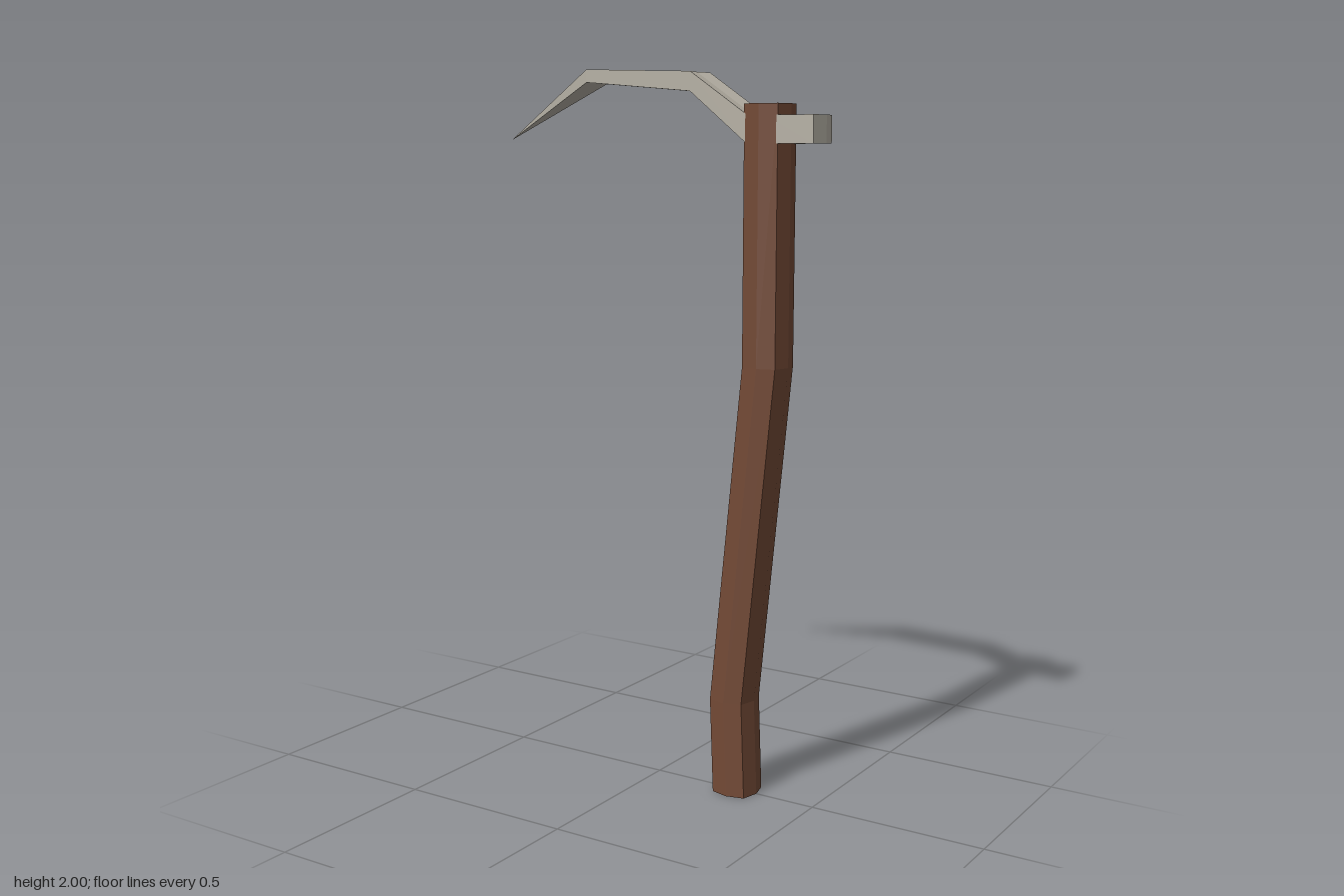
import * as THREE from 'three';

// Skin a list of equal-length rings (counter-clockwise seen from the far end) and cap both ends.
function loft(rings) {
  const n = rings[0].length;
  const index = [];
  for (let i = 0; i < rings.length - 1; i++) {
    for (let k = 0; k < n; k++) {
      const a = i * n + k, b = i * n + (k + 1) % n;
      index.push(a, b, b + n, a, b + n, a + n);
    }
  }
  const last = (rings.length - 1) * n;
  for (let k = 1; k < n - 1; k++) {
    const p = (2 + k) % n, q = (3 + k) % n; // fan from the middle of one side
    index.push(2, q, p, last + 2, last + p, last + q);
  }
  const geometry = new THREE.BufferGeometry();
  geometry.setAttribute('position', new THREE.Float32BufferAttribute(rings.flat(2), 3));
  geometry.setIndex(index);
  const flat = geometry.toNonIndexed();
  flat.computeVertexNormals();
  return flat;
}

// Square section with slightly bulging sides, lying flat at height y.
function handleRing([x, y]) {
  const c = 0.05, m = 0.0625;
  return [[0, m], [c, c], [m, 0], [c, -c], [0, -m], [-c, -c], [-m, 0], [-c, c]]
    .map(([dx, dz]) => [x + dx, y, dz]);
}

// Rectangular section across z, with its middle line shifted along x.
function headRing({ x, top, bottom, shift = -0.01, half = 0.051 }) {
  return [
    [x, bottom, half], [x, top, half], [x + shift, top, 0],
    [x, top, -half], [x, bottom, -half], [x + shift, bottom, 0],
  ];
}

export function createModel() {
  const group = new THREE.Group();
  const wood = new THREE.MeshStandardMaterial({ color: 0x734a36, flatShading: true });
  const metal = new THREE.MeshStandardMaterial({ color: 0xb5b0a4, flatShading: true });
  const add = (name, rings, material) => {
    const mesh = new THREE.Mesh(loft(rings), material);
    mesh.name = name;
    group.add(mesh);
  };

  // Bent wooden handle
  add('handle', [[0.261, 0], [0.25, 0.27], [0.344, 1.21], [0.344, 1.9]].map(handleRing), wood);

  // Curved blade, from inside the handle out to its point
  add('blade', [
    { x: 0.305, top: 1.87, bottom: 1.795 },
    { x: 0.128, top: 1.987, bottom: 1.935 },
    { x: -0.208, top: 2.0, bottom: 1.965 },
    { x: -0.512, top: 1.81, bottom: 1.81, shift: 0, half: 0 },
  ].map(headRing), metal);

  // Short hammer stub on the other side
  add('hammerStub', [
    { x: 0.498, top: 1.87, bottom: 1.797, shift: 0.011 },
    { x: 0.36, top: 1.87, bottom: 1.797, shift: 0 },
  ].map(headRing), metal);

  return group;
}
